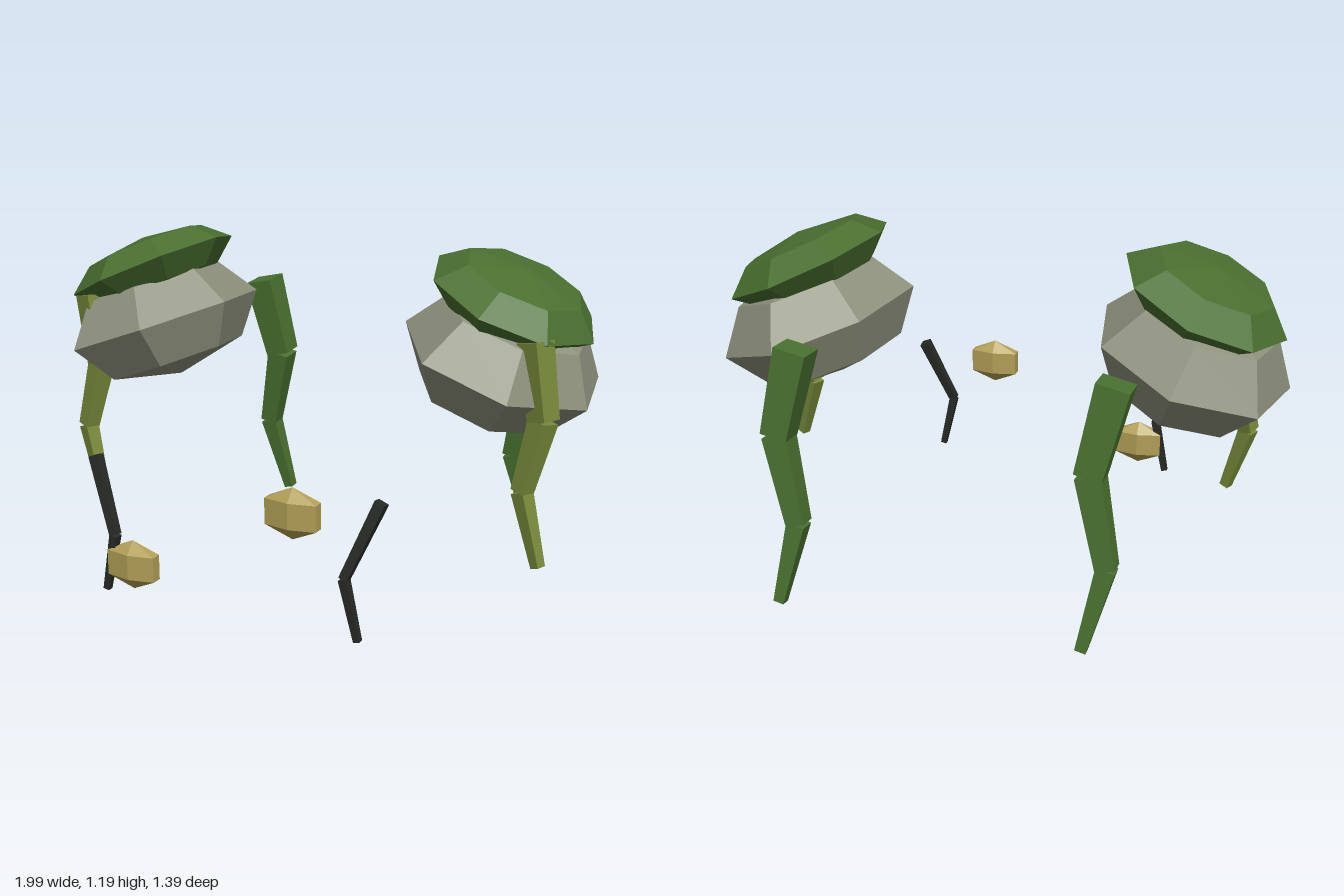
import * as THREE from 'three';

const mat = (color) => new THREE.MeshStandardMaterial({ color, flatShading: true });
const STONE = mat(0x8e917d), MOSS = mat(0x4a7030), LEAF = mat(0x4a7230);
const OLIVE = mat(0x788a3a), DARK = mat(0x282a26), GOLD = mat(0xb3a056);

// Faceted ellipsoid with one vertex column facing the back
function ellipsoid(name, material, sides, rings, radii, position, tilt = 0) {
  const geo = new THREE.SphereGeometry(1, sides, rings, -Math.PI / 2);
  geo.scale(...radii);
  const mesh = new THREE.Mesh(geo, material);
  mesh.name = name;
  mesh.position.set(...position);
  mesh.rotation.z = tilt;
  return mesh;
}

// Chain of tapered square bars; widths holds [start, end] for each bar
function limb(name, material, points, widths, yaw = 0) {
  const group = new THREE.Group();
  group.name = name;
  const down = new THREE.Vector3(0, -1, 0);
  widths.forEach(([w0, w1], i) => {
    const a = new THREE.Vector3(...points[i]);
    const b = new THREE.Vector3(...points[i + 1]);
    const geo = new THREE.CylinderGeometry(w0 * Math.SQRT1_2, w1 * Math.SQRT1_2, a.distanceTo(b), 4);
    geo.rotateY(Math.PI / 4 + yaw);
    const bar = new THREE.Mesh(geo, material);
    bar.name = `${name}Segment${i + 1}`;
    bar.position.copy(a).lerp(b, 0.5);
    bar.quaternion.setFromUnitVectors(down, b.sub(a).normalize());
    group.add(bar);
  });
  return group;
}

export function createModel() {
  const model = new THREE.Group();
  model.name = 'model';

  for (const side of [1, -1]) {
    const label = side > 0 ? 'left' : 'right';

    // Tilted stone body with its mossy cap
    model.add(ellipsoid(`${label}Boulder`, STONE, 7, 4, [0.35, 0.21, 0.42],
      [side * 0.675, 0.823, -0.06], -side * THREE.MathUtils.degToRad(20)));
    model.add(ellipsoid(`${label}MossCap`, MOSS, 8, 4, [0.3, 0.11, 0.352],
      [side * 0.708, 1.032, -0.056], -side * THREE.MathUtils.degToRad(24.5)));

    // Thin dark feeler, mirrored
    model.add(limb(`${label}Feeler`, DARK,
      [[side * 0.53, 0.503, 0.612], [side * 0.427, 0.25, 0.663], [side * 0.472, 0.045, 0.656]],
      [[0.037, 0.03], [0.03, 0.022]]));
  }

  // Legs: the right ones are shifted copies of the left ones
  for (const [label, frontShift, backShift] of [['left', 0, 0], ['right', -1.69, -1.06]]) {
    model.add(limb(`${label}FrontLeg`, OLIVE,
      [[0.855, 0.95, 0.17], [0.898, 0.7, 0.188], [0.844, 0.46, 0.208], [0.915, 0.22, 0.232]]
        .map(([x, y, z]) => [x + frontShift, y, z]),
      [[0.085, 0.074], [0.07, 0.054], [0.052, 0.034]], -0.42));
    model.add(limb(`${label}BackLeg`, LEAF,
      [[0.53, 0.905, -0.587], [0.597, 0.605, -0.614], [0.53, 0.3, -0.643], [0.6, 0.006, -0.675]]
        .map(([x, y, z]) => [x + backShift, y, z]),
      [[0.112, 0.094], [0.086, 0.066], [0.064, 0.038]]));
  }

  // Golden nuggets at the front
  model.add(ellipsoid('leftNugget', GOLD, 6, 3, [0.121, 0.087, 0.043], [0.246, 0.437, 0.66]));
  model.add(ellipsoid('rightNugget', GOLD, 6, 3, [0.121, 0.087, 0.043], [-0.36, 0.154, 0.66]));

  return model;
}
